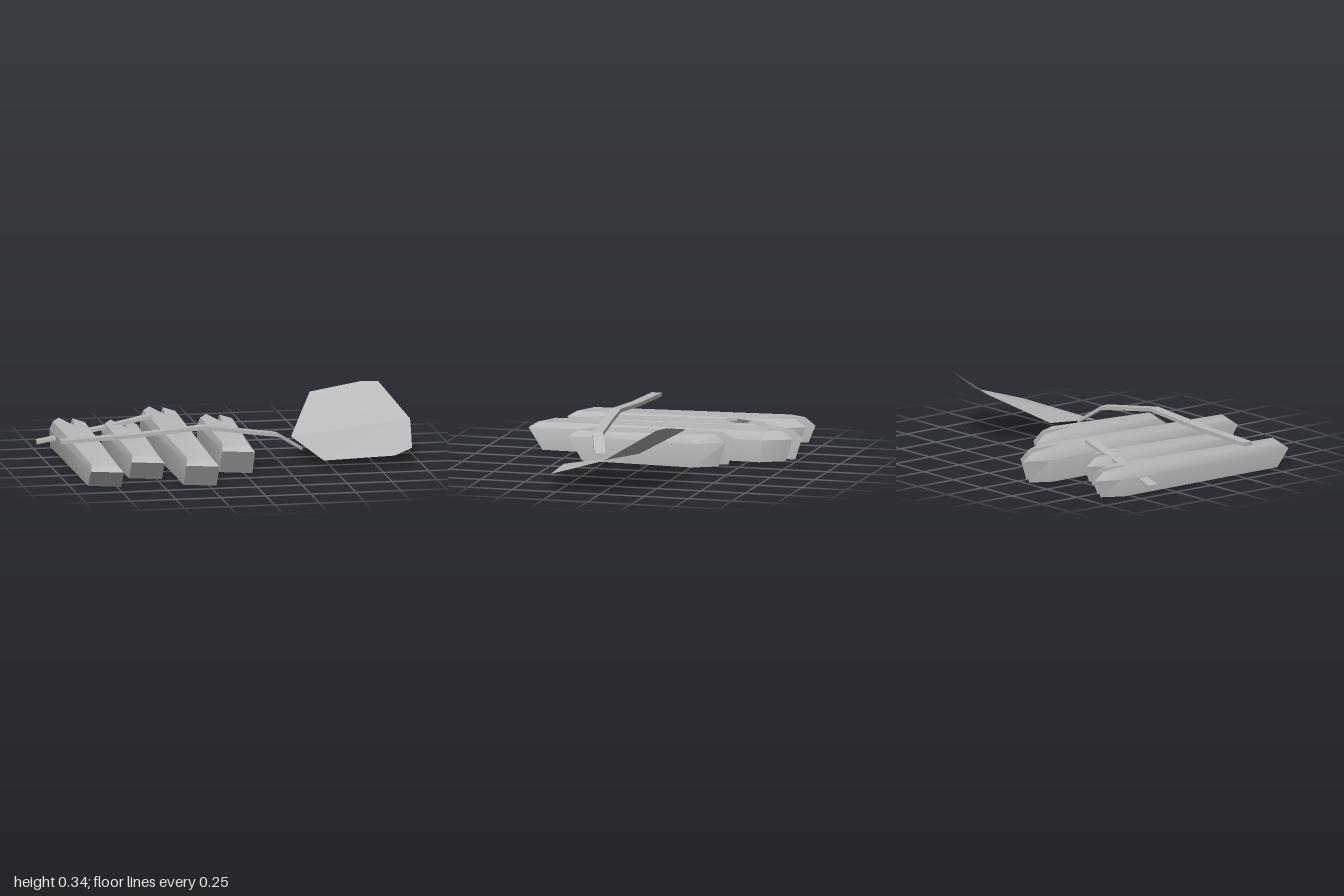
import * as THREE from 'three';
import { toCreasedNormals } from 'three/addons/utils/BufferGeometryUtils.js';

const stone = new THREE.MeshStandardMaterial({ color: 0xb8b8b8 });
stone.name = 'plain grey';
const stoneSheet = stone;
stoneSheet.side = THREE.DoubleSide;

// Joins equal-length loops of points into a closed solid; cap holds the triangles of one end
function loft(rings, cap, crease) {
  const pos = [];
  const tri = (a, b, c) => pos.push(...a, ...b, ...c);
  for (let k = 0; k < rings.length - 1; k++) {
    const lo = rings[k], hi = rings[k + 1];
    lo.forEach((p, i) => {
      const j = (i + 1) % lo.length;
      tri(p, lo[j], hi[j]);
      tri(p, hi[j], hi[i]);
    });
  }
  const first = rings[0], last = rings[rings.length - 1];
  cap.forEach(([a, b, c]) => {
    tri(last[a], last[b], last[c]);
    tri(first[a], first[c], first[b]);
  });
  const g = new THREE.BufferGeometry();
  g.setAttribute('position', new THREE.Float32BufferAttribute(pos, 3));
  g.computeVertexNormals();
  return crease ? toCreasedNormals(g, crease) : g;
}

// Plank with a slanted front end, a split pointed back end and a chamfered top
function plank(x, front, back, h) {
  // x offset, z, how far the bottom and the top draw in: [dx, z, bottomDz, topDz, topDx]
  const outline = [
    [0, front - 0.06, -0.08, -0.05, 0.015],
    [0.172, front, -0.08, -0.05, -0.025],
    [0.208, back + 0.185, 0.02, 0.02, -0.025],
    [0.134, back + 0.035, 0.04, 0.06, 0],
    [0.111, back + 0.265, 0, 0.02, 0],
    [0.066, back, 0.04, 0.06, 0],
    [0, back + 0.135, 0.02, 0.02, 0.015],
  ];
  const level = (y, dzIndex, useDx) => outline.map((o, i) => [
    x + o[0] + (useDx ? o[4] : 0),
    y - (useDx && i < 2 ? 0.015 : 0),
    o[1] + (dzIndex ? o[dzIndex] : 0),
  ]);
  const cap = THREE.ShapeUtils.triangulateShape(outline.map(o => new THREE.Vector2(o[0], -o[1])), []);
  return loft([level(0, 2, false), level(h - 0.045, 0, false), level(h, 3, true)], cap, 0.6);
}

// Flat strip along points [x, y, z, skew], skew being the x shift of its front edge
function strip(points, width, thick) {
  const rings = points.map(([x, y, z, s = 0]) =>
    [[-1, 1], [-1, -1], [1, -1], [1, 1]].map(([v, w]) =>
      [x + w * s, y + v * thick / 2, z + w * width / 2]));
  return loft(rings, [[0, 1, 2], [0, 2, 3]]);
}

// Thin folded sheet: a fan around its inner point, with a small flap on the front edge
function foldedSheet() {
  const hub = [0.9, 0.176, -0.02];
  const rim = [
    [0.34, 0.11, -0.03], [0.445, 0.052, 0.37], [0.95, 0.088, 0.295], [1, 0.185, -0.02],
    [0.875, 0.345, -0.285], [0.78, 0.343, -0.315], [0.505, 0.29, -0.345],
  ];
  const pos = [];
  rim.forEach((p, i) => pos.push(...hub, ...p, ...rim[(i + 1) % rim.length]));
  pos.push(...rim[1], 0.845, 0.057, 0.335, ...rim[2]);
  const g = new THREE.BufferGeometry();
  g.setAttribute('position', new THREE.Float32BufferAttribute(pos, 3));
  g.computeVertexNormals();
  return g;
}

export function createModel() {
  const model = new THREE.Group();
  const add = (name, geometry, material = stone) => {
    const mesh = new THREE.Mesh(geometry, material);
    mesh.name = name;
    model.add(mesh);
  };

  // Four planks: left edge x, front z, back z, height
  [
    [-0.9, 0.69, -0.69, 0.14],
    [-0.642, 0.53, -0.535, 0.15],
    [-0.383, 0.76, -0.765, 0.167],
    [-0.126, 0.46, -0.46, 0.177],
  ].forEach((p, i) => add('plank' + (i + 1), plank(...p)));

  // Long bent strip over the planks
  add('longStrip', strip([
    [-1, 0.192, 0.26], [-0.6, 0.21, 0.26], [-0.2, 0.242, 0.26], [0, 0.212, 0.255, 0.002],
    [0.21, 0.182, 0.243, 0.006], [0.345, 0.092, 0.19, 0.01],
  ], 0.057, 0.02));

  // Short strip slanting up through the left planks
  add('shortStrip', strip([
    [-1, 0.055, -0.415, -0.003], [-0.62, 0.135, -0.365, -0.003], [-0.372, 0.19, -0.348],
  ], 0.058, 0.018));

  add('foldedSheet', foldedSheet(), stoneSheet);
  return model;
}
